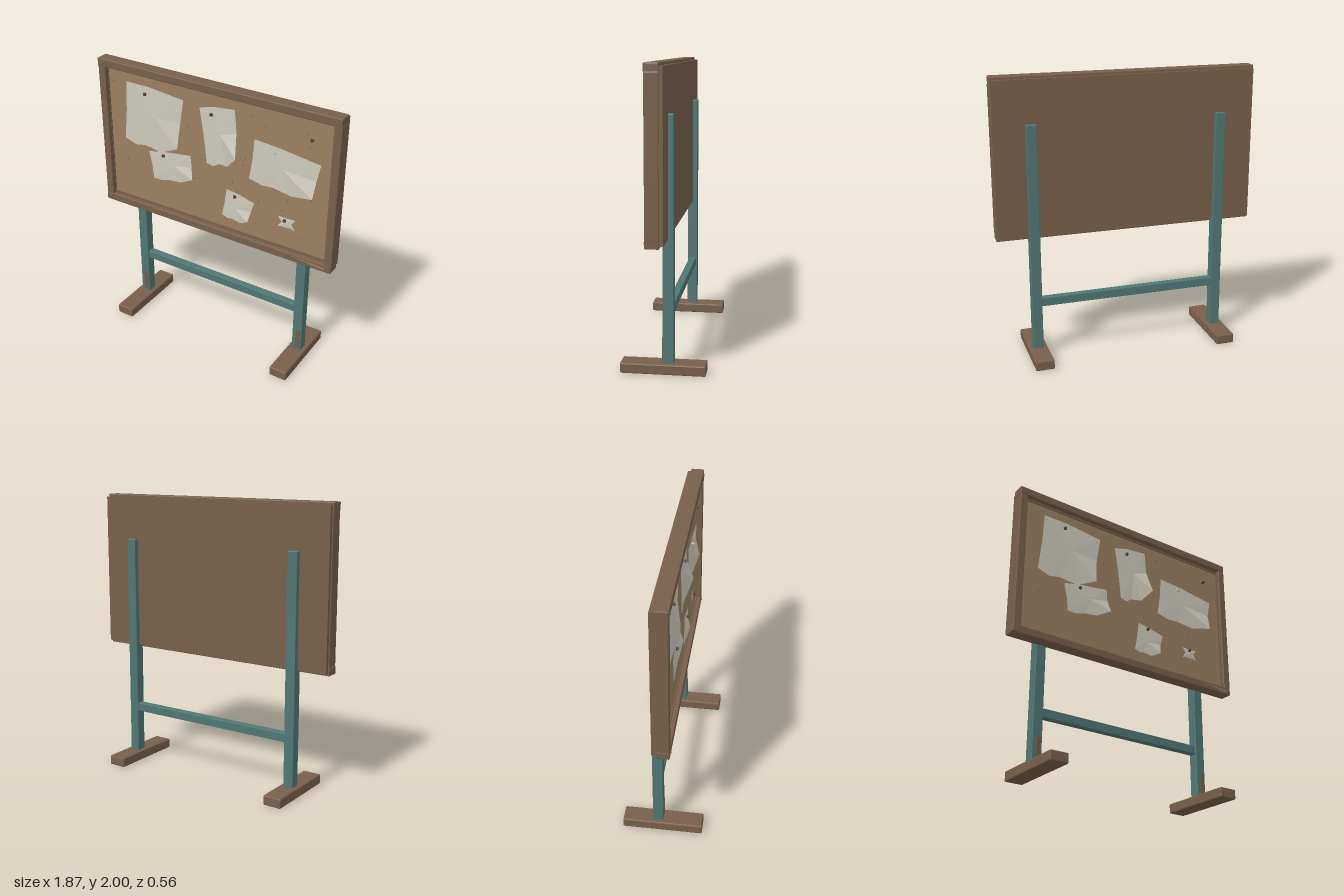
import * as THREE from 'three';
import { RoundedBoxGeometry } from 'three/addons/geometries/RoundedBoxGeometry.js';

const material = (name, color, side = THREE.FrontSide) =>
  Object.assign(new THREE.MeshStandardMaterial({ color, flatShading: true, side }), { name });

export function createModel() {
  const group = new THREE.Group();
  group.name = 'noticeBoard';
  const wood = material('wood', 0x785f4a);
  const cork = material('cork', 0x9a7f60);
  const teal = material('tealPaint', 0x4f7774);
  const paper = material('paper', 0xcdc9bb, THREE.DoubleSide);
  const dark = material('darkMetal', 0x54443a);
  const rust = material('rust', 0x785a45);
  const chipped = material('bareWood', 0x9b7a60);
  const pale = material('palePin', 0xc4c0b0);

  const add = (name, geometry, mat, x = 0, y = 0, z = 0) => {
    const mesh = new THREE.Mesh(geometry, mat);
    mesh.name = name;
    mesh.position.set(x, y, z);
    group.add(mesh);
  };

  // Box given by its extents, with a small chamfer when bevel is set
  const box = (name, mat, [x0, x1], [y0, y1], [z0, z1], bevel = 0) => {
    const size = [x1 - x0, y1 - y0, z1 - z0];
    const geometry = bevel
      ? new RoundedBoxGeometry(...size, 1, bevel)
      : new THREE.BoxGeometry(...size);
    add(name, geometry, mat, (x0 + x1) / 2, (y0 + y1) / 2, (z0 + z1) / 2);
  };

  // Disc-like cylinder facing the front
  const stud = (name, mat, x, y, z, r0, r1, depth, sides = 10) => {
    const geometry = new THREE.CylinderGeometry(r0, r1, depth, sides).rotateX(Math.PI / 2);
    add(name, geometry, mat, x, y, z + depth / 2);
  };

  // Board: backing, cork and frame
  box('backPanel', wood, [-0.925, 0.925], [0.895, 1.98], [-0.035, -0.008]);
  box('corkSheet', cork, [-0.885, 0.885], [0.93, 1.945], [-0.01, 0.042]);
  box('topRail', wood, [-0.935, 0.93], [1.942, 2.0], [-0.01, 0.083], 0.006);
  box('bottomRail', wood, [-0.935, 0.93], [0.876, 0.932], [-0.01, 0.083], 0.006);
  for (const s of [-1, 1]) {
    const x = s * 0.904;
    box('sideStile', wood, [x - 0.028, x + 0.028], [0.925, 1.947], [-0.01, 0.081], 0.005);
    box('innerSideTrim', wood, [s * 0.876 - 0.003, s * 0.876 + 0.003], [0.94, 1.935], [0.03, 0.05]);
  }
  for (const y of [0.94, 1.934])
    box('innerTrim', wood, [-0.88, 0.88], [y - 0.008, y + 0.008], [0.03, 0.05]);

  // Bare wedge where the lower rail is chipped
  const chip = new THREE.Shape()
    .moveTo(0.62, 0.918).lineTo(0.89, 0.892).lineTo(0.905, 0.905).lineTo(0.85, 0.912);
  add('railChip', new THREE.ExtrudeGeometry(chip, { depth: 0.003, bevelEnabled: false }),
    chipped, 0, 0, 0.082);

  // Frame screws
  for (const x of [-0.893, 0.893])
    for (const y of [0.907, 1.968]) stud('frameScrew', wood, x, y, 0.08, 0.009, 0.011, 0.009);

  // Stand: posts, feet, worn patches, crossbar
  for (const x of [-0.675, 0.675]) {
    box('post', teal, [x - 0.036, x + 0.036], [0.06, 1.682], [-0.069, 0.003], 0.004);
    box('foot', wood, [x - 0.066, x + 0.066], [0, 0.07], [-0.28, 0.28], 0.008);
    box('rustPatch', rust, [x - 0.005, x + 0.025], [0.092, 0.24], [0, 0.008]);
  }
  box('crossbar', teal, [-0.645, 0.645], [0.383, 0.445], [-0.061, -0.01], 0.004);

  // Creased sheet: four corners from top left clockwise, a crease centre, the curl of
  // the lower right corner, the sag of the torn lower edge and the notch in each side
  const sheet = (tl, tr, br, bl, centre, { curl = 0.022, sag = 0.03, notch = 0.03, z = 0.047 }) => {
    const [a, b, c, d, mid] = [tl, tr, br, bl, centre].map(([x, y]) => new THREE.Vector3(x, y, z));
    const along = (p, q, t, dy, dz = 0) => p.clone().lerp(q, t).add(new THREE.Vector3(0, dy, dz));
    const side = (p, q) => along(p, q, 0.5, 0).lerp(mid, notch);
    const rightSide = side(b, c);
    const leftSide = side(d, a);
    const edge = [
      a, along(a, b, 0.4, sag * 0.2), b, rightSide, along(c, c, 0, 0, curl),
      along(c, d, 0.32, -sag, curl * 0.25), along(c, d, 0.62, -sag * 0.5),
      along(c, d, 0.8, -sag * 0.65), d, leftSide,
    ];
    mid.z += 0.004;
    const points = edge.flatMap((p, i) => [mid, edge[(i + 1) % edge.length], p]);
    const geometry = new THREE.BufferGeometry().setFromPoints(points);
    geometry.computeVertexNormals();
    add('paperSheet', geometry, paper);
  };
  sheet([-0.72, 1.86], [-0.245, 1.83], [-0.29, 1.46], [-0.755, 1.42], [-0.49, 1.65], { sag: 0.06 });
  sheet([-0.115, 1.81], [0.16, 1.86], [0.195, 1.53], [-0.06, 1.41], [0.05, 1.65],
    { curl: 0.05, sag: 0.055 });
  sheet([0.31, 1.69], [0.795, 1.635], [0.76, 1.39], [0.275, 1.39], [0.52, 1.53],
    { curl: 0.03, sag: 0.035 });
  sheet([-0.545, 1.37], [-0.19, 1.43], [-0.165, 1.255], [-0.51, 1.165], [-0.33, 1.31], { z: 0.053 });
  sheet([0.1, 1.255], [0.32, 1.21], [0.28, 1.055], [0.065, 1.04], [0.17, 1.12], {});
  sheet([0.505, 1.175], [0.635, 1.175], [0.635, 1.095], [0.505, 1.095], [0.57, 1.135],
    { curl: 0, sag: -0.008, notch: 0.42 });

  // Push pins
  const pin = (x, y, mat = dark) => {
    stud('pinStem', mat, x, y, 0.04, 0.006, 0.006, 0.02, 8);
    stud('pinHead', mat, x, y, 0.058, 0.009, 0.013, 0.012);
  };
  pin(-0.555, 1.806);
  pin(-0.015, 1.787);
  pin(0.728, 1.797);
  pin(0.47, 1.642, pale);
  pin(-0.417, 1.37);
  pin(0.173, 1.221);
  pin(0.562, 1.158);

  // Old pin holes scattered over the cork
  let seed = 7;
  const random = () => (seed = (seed * 16807) % 2147483647) / 2147483647;
  for (let i = 0; i < 40; i++) {
    const x = (random() - 0.5) * 1.68;
    const y = 1.0 + random() * 0.91;
    stud('pinHole', dark, x, y, 0.041, 0.004, 0.004, 0.002, 6);
  }

  return group;
}
